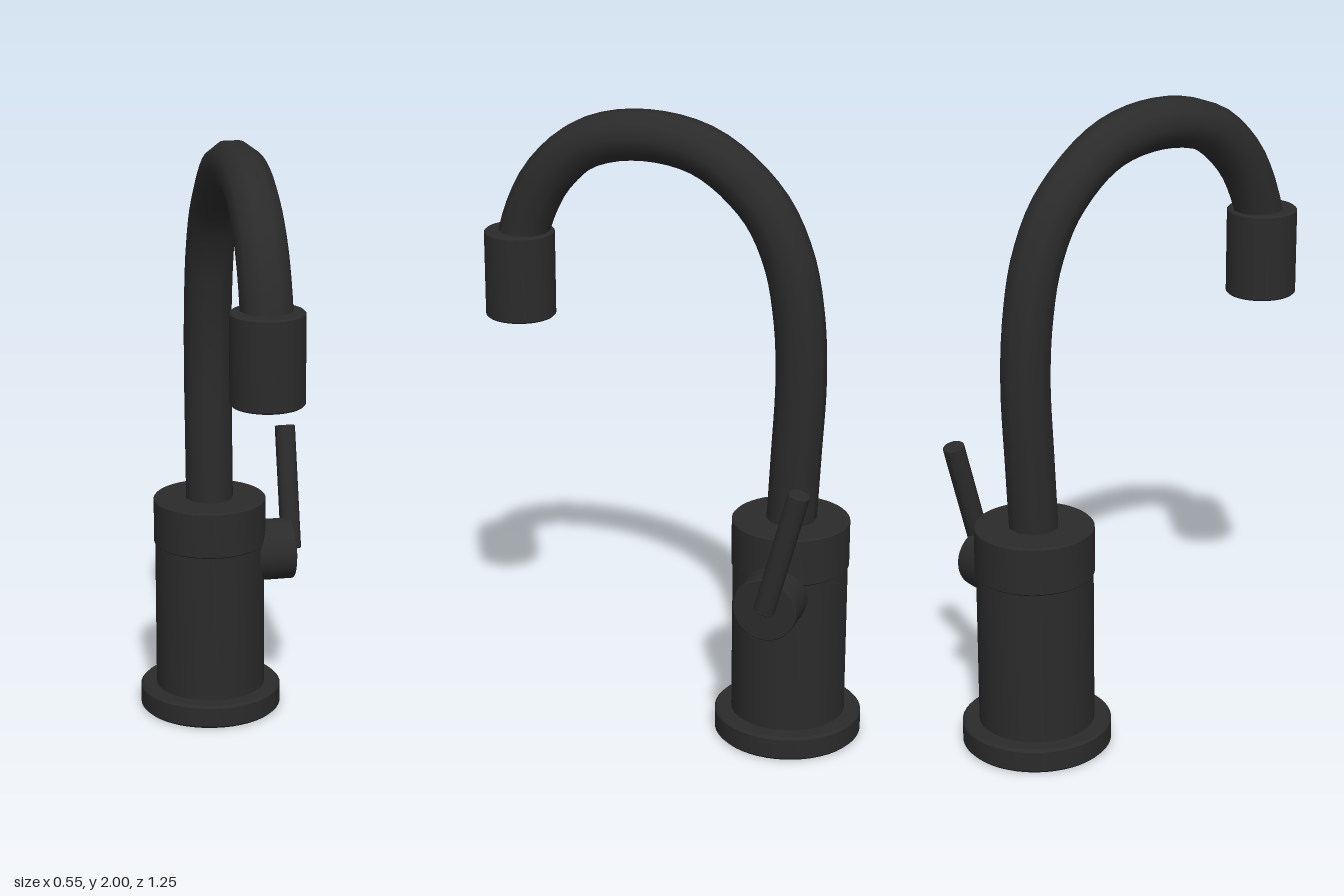
import * as THREE from 'three';
import { toCreasedNormals } from 'three/addons/utils/BufferGeometryUtils.js';

export function createModel() {
  const group = new THREE.Group();
  const matteBlack = new THREE.MeshStandardMaterial({ color: 0x2b2b2b });
  matteBlack.name = 'matteBlack';

  const X = -0.04;      // centre plane of the tap
  const BASE_Z = -0.387;
  const HEAD_Z = 0.515;

  const add = (name, geometry, x, y, z) => {
    const mesh = new THREE.Mesh(geometry, matteBlack);
    mesh.name = name;
    mesh.position.set(x, y, z);
    group.add(mesh);
    return mesh;
  };

  // Closed round part with small chamfers on both rims, standing on y = 0
  const turned = (r, h, c, sides = 48) => {
    const profile = [[0, 0], [r - c, 0], [r, c], [r, h - c], [r - c, h], [0, h]];
    const points = profile.map(([px, py]) => new THREE.Vector2(px, py));
    return toCreasedNormals(new THREE.LatheGeometry(points, sides), 0.6);
  };

  // Body
  add('baseFlange', turned(0.235, 0.08, 0.008), X, 0, BASE_Z);
  add('body', turned(0.182, 0.52, 0.002), X, 0.07, BASE_Z);
  add('collar', turned(0.186, 0.155, 0.004), X, 0.58, BASE_Z);

  // Gooseneck, as [z, y] points along its centre line
  const path = [
    [-0.387, 0.7], [-0.4, 0.95], [-0.411, 1.2], [-0.4, 1.4], [-0.363, 1.58],
    [-0.28, 1.74], [-0.1, 1.885], [0.11, 1.922], [0.29, 1.88],
    [0.41, 1.775], [0.47, 1.67], [0.505, 1.56], [0.515, 1.48],
  ].map(([z, y]) => new THREE.Vector3(0, y, z));
  const curve = new THREE.CatmullRomCurve3(path);
  add('spout', new THREE.TubeGeometry(curve, 48, 0.079, 10), X, 0, 0);

  // Spray head with a recessed outlet
  add('sprayHead', turned(0.111, 0.277, 0.005), X, 1.31, HEAD_Z);
  const outlet = [[0, 0.006], [0.06, 0.006], [0.065, 0], [0.077, 0], [0.077, 0.02]]
    .map(([px, py]) => new THREE.Vector2(px, py));
  add('outlet', toCreasedNormals(new THREE.LatheGeometry(outlet, 40), 0.6), X, 1.301, HEAD_Z);

  // Valve stub on the left side, with its lever
  add('valveStub', turned(0.102, 0.2, 0.003), 0.237, 0.535, BASE_Z).rotation.z = Math.PI / 2;
  const lever = add('lever', turned(0.034, 0.414, 0.003, 24), 0.238, 0.533, BASE_Z);
  lever.rotation.x = -0.257;

  return group;
}
